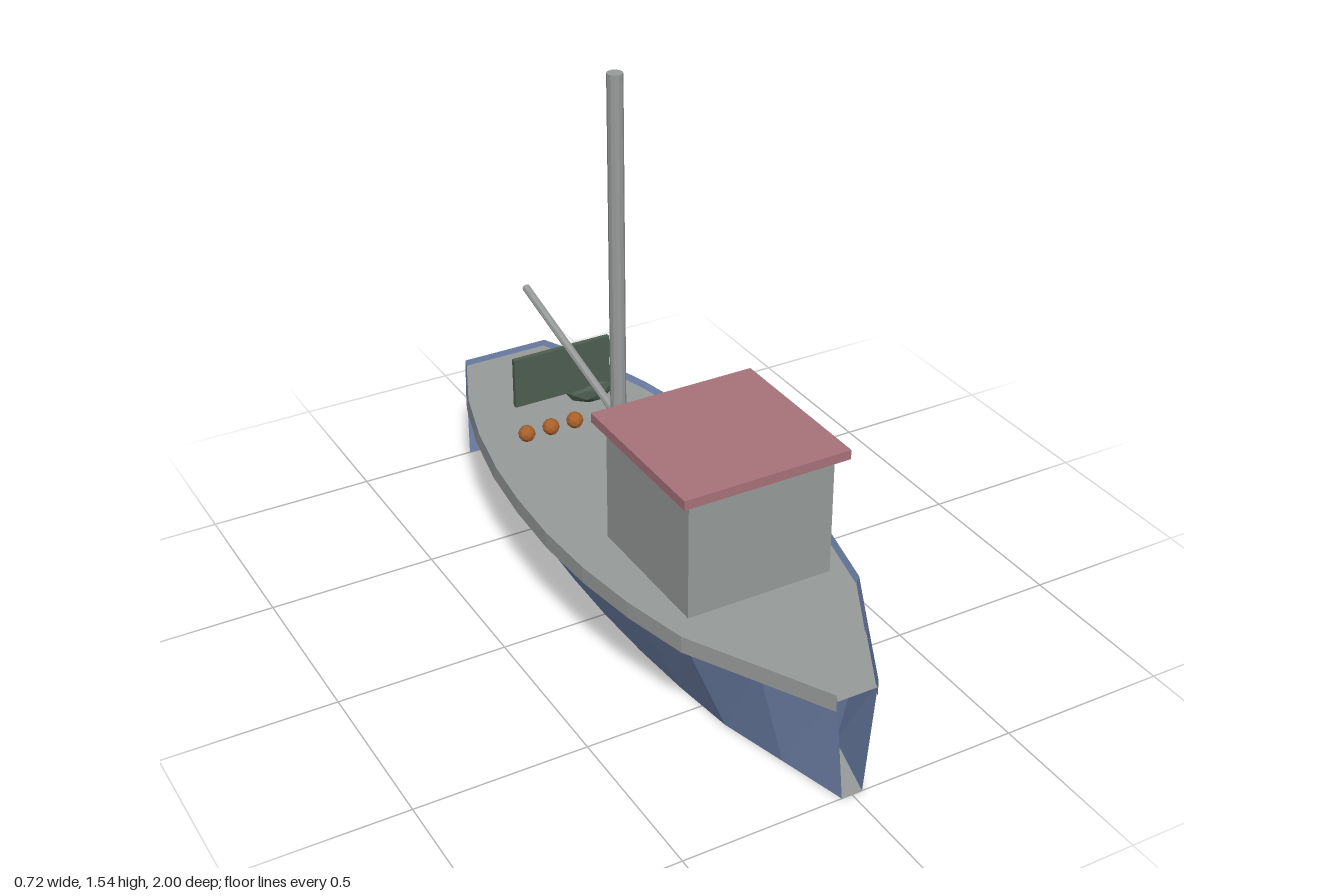
import * as THREE from 'three';

const flat = (name, color, side = THREE.FrontSide) => {
  const m = new THREE.MeshStandardMaterial({ color, side, flatShading: true });
  m.name = name;
  return m;
};

// Half widths of the gunwale, from stern (z = -1) to bow (z = 1)
const HALF = [0.14, 0.23, 0.29, 0.33, 0.352, 0.36, 0.35, 0.322, 0.275, 0.168, 0.062];
const TOP = 0.34;
const stationZ = (i) => -1 + 0.2 * i;
const flare = (y) => 0.5 + 0.5 * y / TOP;

function geometryFrom(positions) {
  const g = new THREE.BufferGeometry();
  g.setAttribute('position', new THREE.Float32BufferAttribute(positions, 3));
  g.computeVertexNormals();
  return g;
}

// Side wall between two levels, following the outline on both sides
function sideWalls(y0, s0, y1, s1) {
  const p = [];
  for (const side of [1, -1]) {
    for (let i = 0; i < HALF.length - 1; i++) {
      const at = (k, y, s) => [side * HALF[k] * s, y, stationZ(k)];
      const a = at(i, y0, s0), b = at(i + 1, y0, s0);
      const c = at(i + 1, y1, s1), d = at(i, y1, s1);
      const tris = side > 0 ? [a, d, c, a, c, b] : [a, c, d, a, b, c];
      p.push(...tris.flat());
    }
  }
  return geometryFrom(p);
}

// Horizontal plate filling the outline at one level
function plate(y, s, up) {
  const p = [];
  for (let i = 0; i < HALF.length - 1; i++) {
    const w = HALF[i] * s, v = HALF[i + 1] * s, z = stationZ(i), q = stationZ(i + 1);
    const a = [-w, y, z], b = [w, y, z], c = [v, y, q], d = [-v, y, q];
    p.push(...(up ? [a, d, c, a, c, b] : [a, c, d, a, b, c]).flat());
  }
  return geometryFrom(p);
}

export function createModel() {
  const boat = new THREE.Group();
  boat.name = 'boat';
  const grey = flat('grey', 0x979b99, THREE.DoubleSide);
  const blue = flat('hull blue', 0x7488b2, THREE.DoubleSide);
  const red = flat('roof red', 0xa8737b);
  const green = flat('dark green', 0x4e5e51);
  const orange = flat('orange', 0xa8602a);

  const add = (name, geometry, material, x = 0, y = 0, z = 0) => {
    const mesh = new THREE.Mesh(geometry, material);
    mesh.name = name;
    mesh.position.set(x, y, z);
    boat.add(mesh);
    return mesh;
  };

  // Hull: flared sides open at the bow, flat transom, bottom, deck and rub rail
  add('hullSides', sideWalls(0, 0.5, TOP, 1), blue);
  const transom = add('transom', new THREE.PlaneGeometry(0.28, TOP), blue, 0, TOP / 2, -1);
  transom.rotation.y = Math.PI;
  add('hullBottom', plate(0, 0.5, false), grey);
  add('deck', plate(0.32, flare(0.32), true), grey);
  add('rubRail', sideWalls(0.29, 1, TOP, 1), grey);

  // Wheelhouse
  add('cabin', new THREE.BoxGeometry(0.44, 0.36, 0.44), grey, 0, 0.52, 0.32);
  add('cabinRoof', new THREE.BoxGeometry(0.5, 0.028, 0.5), red, 0, 0.713, 0.32);

  // Mast and sloping boom
  add('mast', new THREE.CylinderGeometry(0.023, 0.023, 1.275, 12), grey, 0, 0.9025, -0.24);
  const from = new THREE.Vector3(0, 0.485, -0.25), to = new THREE.Vector3(0, 0.64, -0.83);
  const boomLine = to.clone().sub(from);
  const boom = add('boom', new THREE.CylinderGeometry(0.0125, 0.0125, boomLine.length(), 8), grey);
  boom.position.copy(from).add(to).multiplyScalar(0.5);
  boom.quaternion.setFromUnitVectors(new THREE.Vector3(0, 1, 0), boomLine.normalize());

  // Net panel hung above the deck
  add('netPanel', new THREE.BoxGeometry(0.32, 0.16, 0.015), green, 0, 0.46, -0.6);

  // Heap of netting: a lump that narrows to a raised tip on one side
  const lump = new THREE.IcosahedronGeometry(1, 1);
  const pos = lump.attributes.position;
  for (let i = 0; i < pos.count; i++) {
    const x = pos.getX(i), y = pos.getY(i), z = pos.getZ(i);
    const taper = 1 - 0.28 * Math.max(0, x);
    pos.setXYZ(i, x * 0.1, y * 0.05 * taper + 0.02 * Math.max(0, x) ** 2, z * 0.068 * taper - 0.006 * x);
  }
  lump.computeVertexNormals();
  add('netHeap', lump, green, 0.125, 0.36, -0.642);

  // Row of floats
  for (let i = 0; i < 3; i++) {
    add('float' + (i + 1), new THREE.IcosahedronGeometry(0.026, 1), orange, -0.18 + 0.08 * i, 0.355, -0.48);
  }
  return boat;
}
